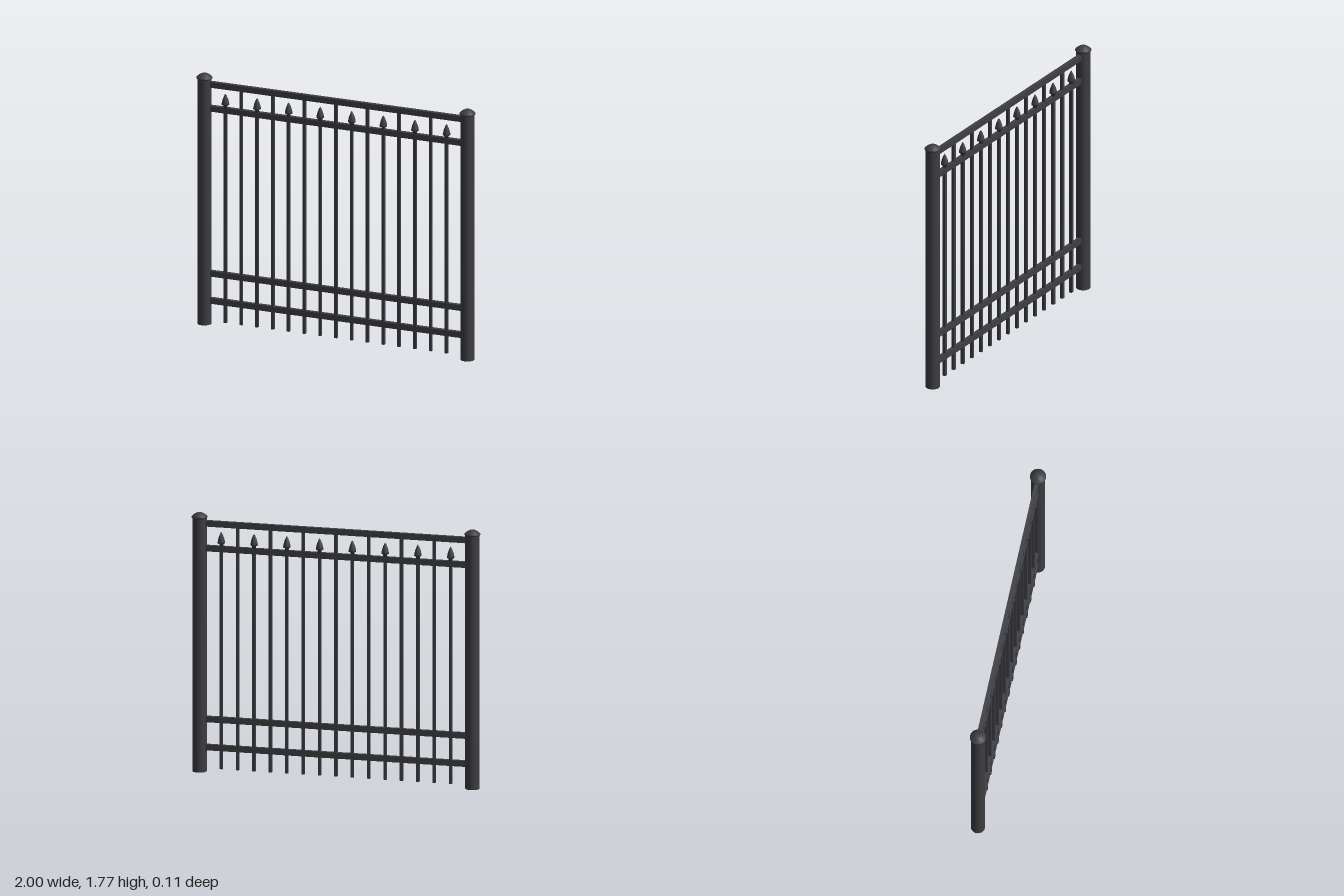
import * as THREE from 'three';

export function createModel() {
  const model = new THREE.Group();
  model.name = 'fencePanel';
  const iron = new THREE.MeshStandardMaterial({ color: 0x3e3e43 });
  iron.name = 'charcoal iron';

  const add = (geometry, name, x, y, z = 0) => {
    const mesh = new THREE.Mesh(geometry, iron);
    mesh.name = name;
    mesh.position.set(x, y, z);
    model.add(mesh);
  };
  const profile = (points) => points.map(([r, y]) => new THREE.Vector2(r, y));

  // Round end posts with low domed caps
  const postGeo = new THREE.CylinderGeometry(0.048, 0.048, 1.735, 32);
  const capGeo = new THREE.LatheGeometry(profile([
    [0, 0], [0.047, 0], [0.054, 0.006], [0.054, 0.012], [0.05, 0.016],
    [0.036, 0.028], [0.022, 0.036], [0.018, 0.038], [0, 0.039],
  ]), 32);
  for (const side of [-1, 1]) {
    add(postGeo, side > 0 ? 'leftPost' : 'rightPost', side * 0.946, 0.8675);
    add(capGeo, side > 0 ? 'leftPostCap' : 'rightPostCap', side * 0.946, 1.73);
  }

  // Four horizontal rails running between the posts
  const railGeo = new THREE.BoxGeometry(1.82, 0.04, 0.028);
  for (const y of [0.168, 0.36, 1.528, 1.697]) add(railGeo, 'rail', 0, y);

  // Pickets: spear-topped ones alternate with ones reaching the top rail
  const bottom = 0.024;
  const spearGeo = new THREE.LatheGeometry(profile([
    [0, 0], [0.014, 0], [0.014, 0.014], [0.026, 0.02], [0.025, 0.03],
    [0.019, 0.056], [0.008, 0.084], [0, 0.097],
  ]), 12);
  for (let i = 0; i < 15; i++) {
    const x = (i - 7) * 0.1136;
    const spear = i % 2 === 0;
    const top = spear ? 1.555 : 1.69;
    add(new THREE.BoxGeometry(0.02, top - bottom, 0.02), 'picket', x, (top + bottom) / 2);
    if (spear) add(spearGeo, 'spearhead', x, 1.548);
  }
  return model;
}
